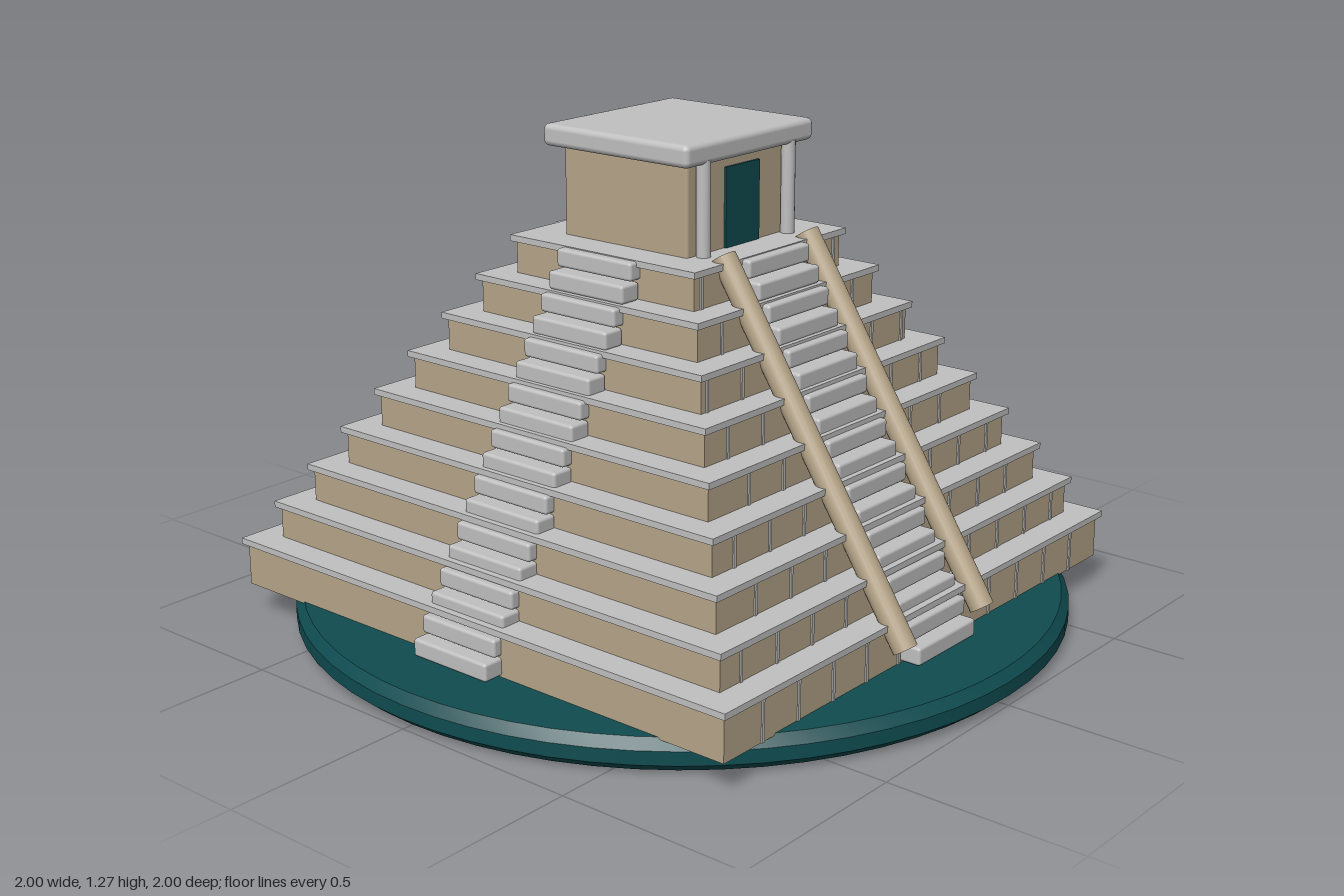
import * as THREE from 'three';
import { RoundedBoxGeometry } from 'three/addons/geometries/RoundedBoxGeometry.js';
import { toCreasedNormals } from 'three/addons/utils/BufferGeometryUtils.js';

export function createModel() {
  const material = (name, color) => {
    const m = new THREE.MeshStandardMaterial({ color });
    m.name = name;
    return m;
  };
  const teal = material('teal', 0x0f4c50);
  const tan = material('sandstone', 0xb5a488);
  const grey = material('pale stone', 0xc0c0c0);

  const add = (parent, name, geometry, mat, x = 0, y = 0, z = 0) => {
    const mesh = new THREE.Mesh(geometry, mat);
    mesh.name = name;
    mesh.position.set(x, y, z);
    parent.add(mesh);
    return mesh;
  };
  const box = (w, h, d) => new THREE.BoxGeometry(w, h, d);
  const rounded = (w, h, d, r) => new RoundedBoxGeometry(w, h, d, 2, r);

  const model = new THREE.Group();
  model.name = 'steppedPyramid';

  // Round base with chamfered rims
  const profile = [[0, 0], [0.97, 0], [1, 0.025], [1, 0.06], [0.98, 0.085], [0, 0.085]]
    .map(([r, y]) => new THREE.Vector2(r, y));
  add(model, 'base', toCreasedNormals(new THREE.LatheGeometry(profile, 64), 0.5), teal);

  // Everything above sits slightly behind the base centre
  const pyramid = new THREE.Group();
  pyramid.name = 'pyramid';
  pyramid.position.z = -0.012;
  model.add(pyramid);

  // Nine terraces: body, overhanging cap and masonry joints on the front
  const tiers = 9, capHeight = 0.016, overhang = 0.012;
  for (let i = 0; i < tiers; i++) {
    const half = 0.796 - 0.0622 * i;
    const top = 0.99 - 0.098 * (tiers - 1 - i);
    const bottom = i === 0 ? 0.08 : top - 0.098;
    const bodyHalf = half - overhang;
    const height = top - capHeight - bottom;
    const middle = bottom + height / 2;
    add(pyramid, 'terraceBody', box(bodyHalf * 2, height, bodyHalf * 2), tan, 0, middle);
    add(pyramid, 'terraceCap', box(half * 2, capHeight, half * 2), grey, 0, top - capHeight / 2);
    for (let x = 0.13; x < bodyHalf - 0.02; x += 0.13) {
      for (const side of [-1, 1]) {
        add(pyramid, 'masonryJoint', box(0.008, height, 0.008), grey, side * x, middle, bodyHalf);
      }
    }
  }

  // One staircase per side
  const stepGeometry = rounded(0.24, 0.046, 0.062, 0.008);
  for (let side = 0; side < 4; side++) {
    const stairs = new THREE.Group();
    stairs.name = 'staircase';
    stairs.rotation.y = side * Math.PI / 2;
    pyramid.add(stairs);
    for (let i = 0; i < 18; i++) {
      add(stairs, 'step', stepGeometry, grey, 0, 0.111 + i * 0.0502, 0.807 - i * 0.0304);
    }
  }

  // Sloping round balustrades beside the front stairs
  const low = new THREE.Vector3(0, 0.145, 0.827);
  const high = new THREE.Vector3(0, 1.0, 0.276);
  const along = high.clone().sub(low);
  const railGeometry = new THREE.CylinderGeometry(0.031, 0.031, along.length(), 20);
  for (const side of [-1, 1]) {
    const rail = add(pyramid, 'balustrade', railGeometry, tan);
    rail.position.copy(low).add(high).multiplyScalar(0.5);
    rail.position.x = side * 0.164;
    rail.quaternion.setFromUnitVectors(new THREE.Vector3(0, 1, 0), along.clone().normalize());
  }

  // Temple on the summit
  const temple = new THREE.Group();
  temple.name = 'temple';
  pyramid.add(temple);
  add(temple, 'templeWalls', rounded(0.41, 0.25, 0.395, 0.008), tan, 0, 1.105, 0);
  add(temple, 'doorway', box(0.13, 0.2, 0.008), teal, 0, 1.09, 0.2);
  const column = new THREE.CylinderGeometry(0.018, 0.018, 0.24, 16);
  for (const side of [-1, 1]) {
    add(temple, 'column', column, grey, side * 0.165, 1.105, 0.215);
  }
  add(temple, 'roof', rounded(0.494, 0.056, 0.464, 0.015), grey, 0, 1.243, 0);

  return model;
}
